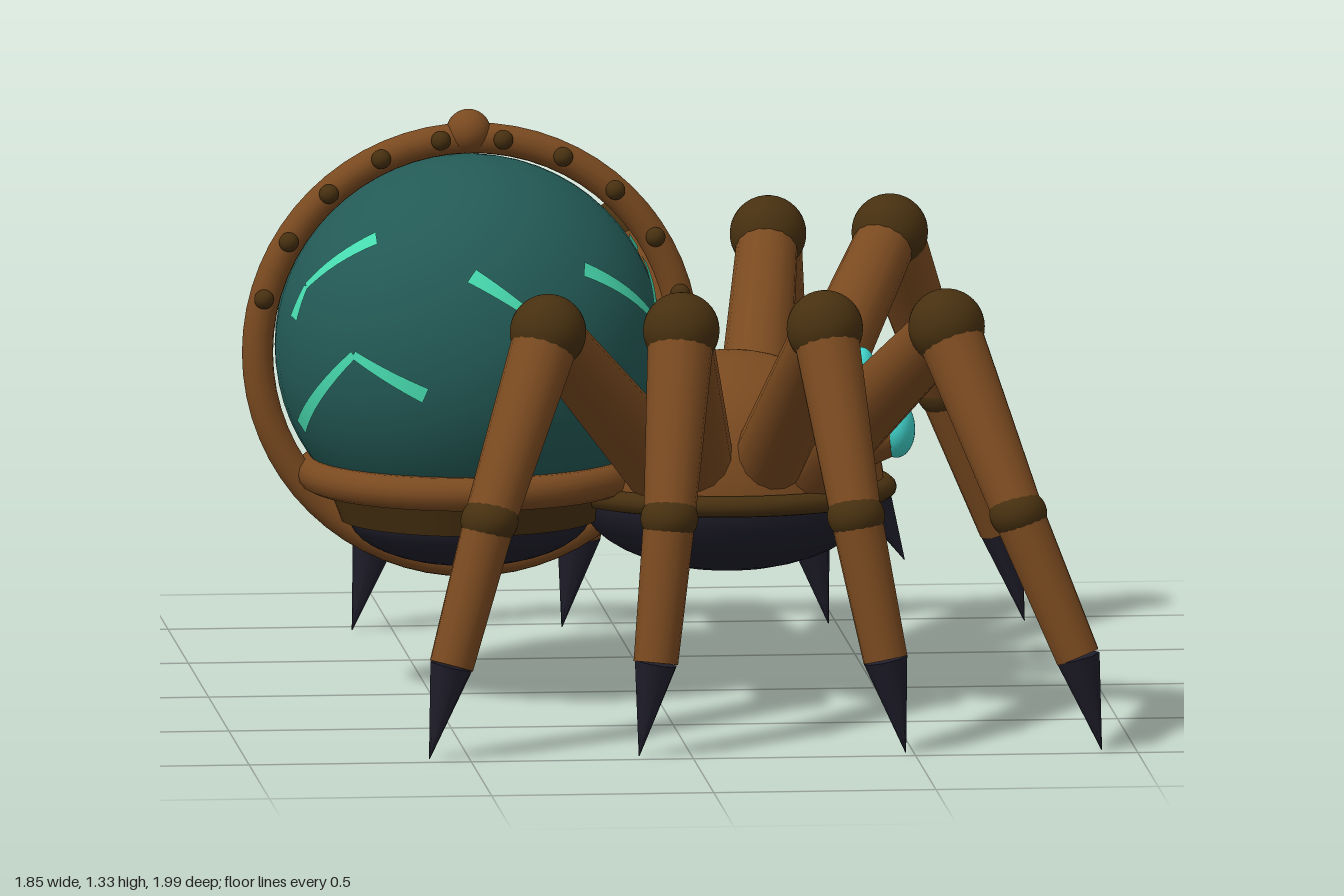
import * as THREE from 'three';

const mat = (name, hex, side = THREE.FrontSide) => {
  const m = new THREE.MeshStandardMaterial({ color: hex, side });
  m.name = name;
  return m;
};
const V = (x, y, z) => new THREE.Vector3(x, y, z);

export function createModel() {
  const model = new THREE.Group();
  model.name = 'spider';
  const brown = mat('brown', 0x7a4a20);
  const olive = mat('darkBronze', 0x473010);
  const navy = mat('darkNavy', 0x1f1e2b);
  const teal = mat('teal', 0x235a56);
  const cyan = mat('eyeCyan', 0x3fd0c8);
  const glow = mat('markGreen', 0x48dcb0, THREE.DoubleSide);

  const add = (name, geo, material, pos = V(0, 0, 0), parent = model) => {
    const mesh = new THREE.Mesh(geo, material);
    mesh.name = name;
    mesh.position.copy(pos);
    parent.add(mesh);
    return mesh;
  };
  const ball = (name, material, pos, rx, ry = rx, rz = rx, parent = model) =>
    add(name, new THREE.SphereGeometry(1, 32, 20).scale(rx, ry, rz), material, pos, parent);
  // Tapered rod between two points
  const rod = (name, material, a, b, ra, rb, parent, sides = 16) => {
    const dir = b.clone().sub(a);
    const mesh = add(name, new THREE.CylinderGeometry(rb, ra, dir.length(), sides), material,
      a.clone().add(b).multiplyScalar(0.5), parent);
    mesh.quaternion.setFromUnitVectors(V(0, 1, 0), dir.normalize());
    return mesh;
  };

  // Abdomen
  const centre = V(-0.415, 0.79, 0);
  const radii = V(0.435, 0.43, 0.415);
  add('abdomen', new THREE.SphereGeometry(1, 48, 32).scale(radii.x, radii.y, radii.z), teal, centre);
  add('upperHoop', new THREE.TorusGeometry(0.48, 0.035, 14, 64), brown, V(-0.41, 0.78, 0));
  ball('hoopKnob', brown, V(-0.415, 1.275, 0), 0.05);
  for (let i = 0; i < 10; i++) {
    const a = THREE.MathUtils.degToRad(15 + (i * 150) / 9);
    ball('hoopRivet', olive, V(-0.41 + 0.485 * Math.cos(a), 0.78 + 0.485 * Math.sin(a), 0.036), 0.022);
  }
  add('waistHoop', new THREE.TorusGeometry(0.35, 0.038, 14, 56).rotateX(Math.PI / 2), brown, V(-0.415, 0.505, 0));
  add('bellyBand', new THREE.CylinderGeometry(0.315, 0.29, 0.07, 40), olive, V(-0.415, 0.435, 0));
  ball('bellyPlate', navy, V(-0.415, 0.41, 0), 0.275, 0.115, 0.26);

  // Glowing zigzag marks, laid as tapered ribbons on the abdomen surface
  const mark = (points) => {
    const dirs = points.map((p) => V(...p).normalize());
    for (let s = 0; s < dirs.length - 1; s++) {
      const a = dirs[s], b = dirs[s + 1], n = 8, pos = [], idx = [];
      const across = a.clone().cross(b).normalize();
      for (let i = 0; i <= n; i++) {
        const t = i / n;
        const w = s % 2 ? 0.022 + 0.02 * t : 0.042 - 0.02 * t;
        const d = a.clone().lerp(b, t).normalize();
        for (const k of [-1, 1]) {
          const p = d.clone().addScaledVector(across, k * w).normalize().multiply(radii).multiplyScalar(1.014);
          pos.push(p.x, p.y, p.z);
        }
        if (i < n) idx.push(2 * i, 2 * i + 1, 2 * i + 2, 2 * i + 1, 2 * i + 3, 2 * i + 2);
      }
      const g = new THREE.BufferGeometry();
      g.setAttribute('position', new THREE.Float32BufferAttribute(pos, 3));
      g.setIndex(idx);
      g.computeVertexNormals();
      add('abdomenMark', g, glow, centre);
    }
  };
  mark([[-0.52, 0.65, 0.56], [-0.86, 0.37, 0.35], [-0.92, 0.2, 0.33]]);
  mark([[-0.88, -0.37, 0.3], [-0.65, 0.07, 0.75], [-0.3, -0.12, 0.94]]);
  mark([[-0.06, 0.49, 0.87], [0.22, 0.3, 0.92]]);
  mark([[0.05, -0.22, 0.97], [0.3, -0.1, 0.95], [0.45, 0.05, 0.89]]);
  mark([[0.53, 0.49, 0.69], [0.92, 0.16, 0.34], [0.87, 0.44, 0.09]]);
  mark([[0.84, 0.53, -0.05], [0.8, 0.28, -0.51], [0.7, 0.45, -0.55]]);
  mark([[0.34, 0.76, -0.57], [0.2, 0.25, -0.95], [-0.26, 0.5, -0.82]]);
  mark([[-0.86, 0.15, -0.49], [-0.46, 0.1, -0.88]]);

  // Head and thorax
  add('carapace', new THREE.SphereGeometry(1, 40, 16, 0, Math.PI * 2, 0, Math.PI / 2).scale(0.35, 0.31, 0.29),
    brown, V(0.17, 0.46, 0));
  const rim = add('carapaceRim', new THREE.TorusGeometry(1, 0.08, 12, 48).rotateX(Math.PI / 2), olive, V(0.17, 0.46, 0));
  rim.scale.set(0.35, 0.3, 0.295);
  ball('thoraxUnderside', navy, V(0.17, 0.45, 0), 0.34, 0.175, 0.28);

  // Eyes in three sizes, plus fangs, on both sides
  const eyes = [
    [0.54, 0.6, 0.085, 0.065],
    [0.485, 0.7, 0.163, 0.047],
    [0.435, 0.575, 0.228, 0.03],
  ];
  for (const side of [-1, 1]) {
    for (const [x, y, z, r] of eyes) {
      ball('eye', cyan, V(x, y, z * side), r * 0.65, r, r);
      rod('eyeSocket', brown, V(x - 0.12, y - 0.05, z * side * 0.8), V(x - 0.01, y, z * side), r * 0.9, r * 0.9, model);
    }
    rod('fang', navy, V(0.49, 0.44, 0.07 * side), V(0.56, 0.3, 0.065 * side), 0.042, 0.001, model, 10);
  }

  // Eight legs: x positions of root, knee, ankle, claw base and tip
  const legs = [
    [0.0, -0.3, -0.45, -0.54, -0.59],
    [0.08, 0.0, -0.045, -0.08, -0.118],
    [0.24, 0.323, 0.375, 0.437, 0.482],
    [0.34, 0.597, 0.74, 0.87, 0.923],
  ];
  for (const side of [-1, 1]) {
    for (const [root, knee, ankle, claw, tip] of legs) {
      const leg = new THREE.Group();
      leg.name = 'leg';
      model.add(leg);
      const p0 = V(root, 0.54, 0.2 * side), p1 = V(knee, 0.925, 0.7 * side);
      const p2 = V(ankle, 0.53, 0.9 * side), p3 = V(claw, 0.21, 0.948 * side);
      rod('thigh', brown, p0, p1, 0.085, 0.068, leg);
      ball('knee', olive, p1, 0.086, 0.086, 0.086, leg);
      rod('shin', brown, p1, p2, 0.075, 0.058, leg);
      ball('ankle', olive, p2, 0.065, 0.058, 0.065, leg);
      rod('foot', brown, p2, p3, 0.058, 0.05, leg);
      rod('claw', navy, p3, V(tip, 0, 0.952 * side), 0.05, 0.001, leg, 8);
    }
  }
  return model;
}
